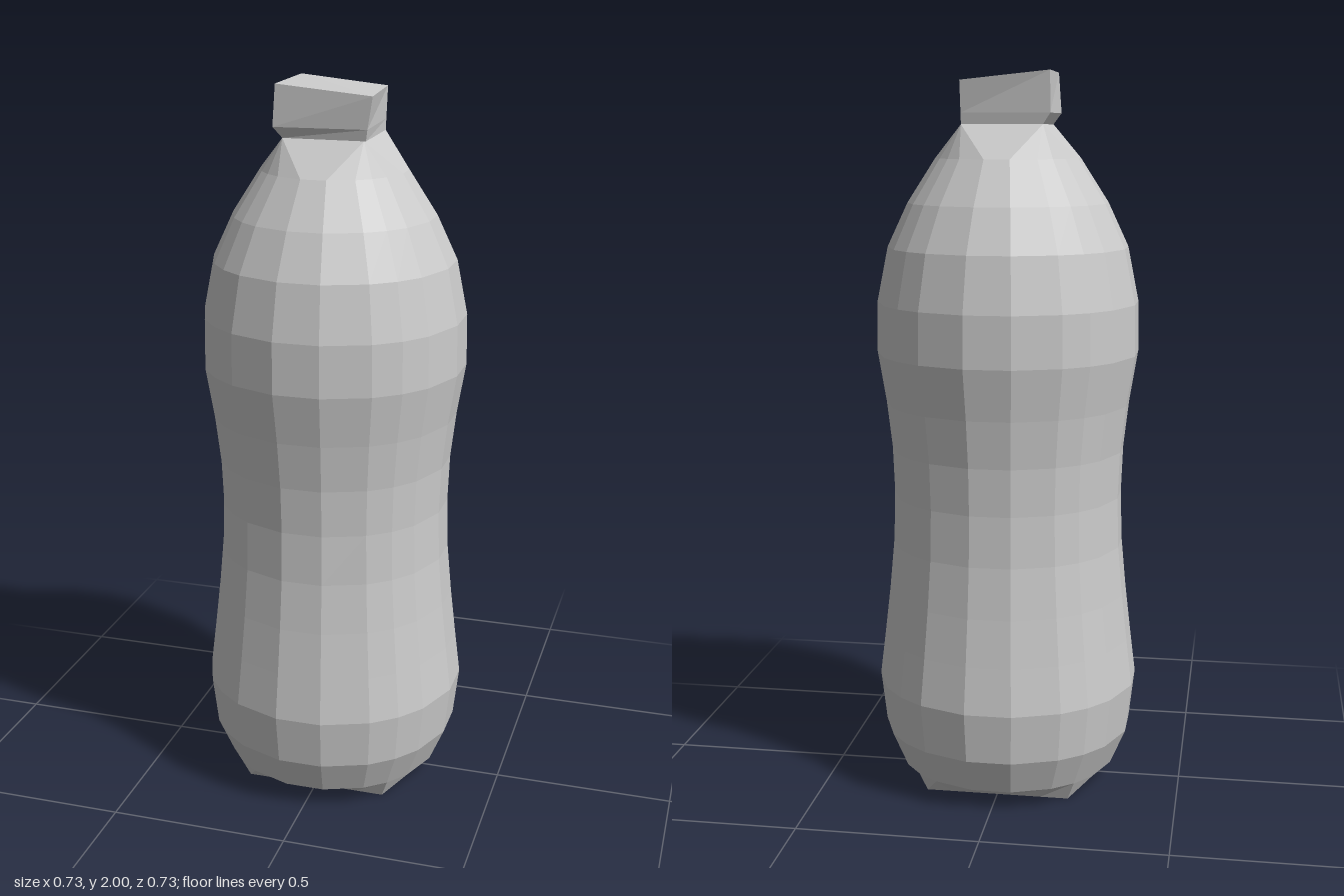
import * as THREE from 'three';

// Skins a stack of rings (bottom to top) and closes both ends.
function loft(rings, name) {
  const pos = [], idx = [], n = rings[0].length;
  rings.forEach(r => r.forEach(p => pos.push(...p)));
  for (let i = 0; i < rings.length - 1; i++) {
    for (let j = 0; j < n; j++) {
      const a = i * n + j, b = i * n + (j + 1) % n;
      idx.push(a, a + n, b, b, a + n, b + n);
    }
  }
  const top = (rings.length - 1) * n;
  for (let j = 1; j < n - 1; j++) {
    idx.push(0, j, j + 1);
    idx.push(top, top + j + 1, top + j);
  }
  const geo = new THREE.BufferGeometry();
  geo.setAttribute('position', new THREE.Float32BufferAttribute(pos, 3));
  geo.setIndex(idx);
  geo.computeVertexNormals();
  const mesh = new THREE.Mesh(geo, new THREE.MeshStandardMaterial({ color: 0xcccccc, flatShading: true }));
  mesh.name = name;
  return mesh;
}

// Twenty uneven sides: wide panels on the axes, narrow ones on the diagonals.
const angles = [];
for (let q = 0; q < 4; q++) {
  for (const d of [10, 31.5, 45, 58.5, 80]) angles.push(THREE.MathUtils.degToRad(q * 90 + d));
}
const roundRing = (y, r) => angles.map(a => [r * Math.cos(a), y, r * Math.sin(a)]);
const squareRing = (y, h) => angles.map(a => {
  const k = h / Math.max(Math.abs(Math.cos(a)), Math.abs(Math.sin(a)));
  return [k * Math.cos(a), y, k * Math.sin(a)];
});
// All vertices of a quadrant gather in the corner of the square.
const cornerRing = (y, h) => angles.map(a => [h * Math.sign(Math.cos(a)), y, h * Math.sign(Math.sin(a))]);

export function createModel() {
  const model = new THREE.Group();
  model.name = 'bottle';

  // Body: square foot, waisted round wall, shoulder, square neck
  const profile = [
    [0.16, 0.353], [0.30, 0.369], [0.43, 0.353], [0.56, 0.338], [0.70, 0.325], [0.84, 0.321],
    [0.97, 0.326], [1.10, 0.341], [1.24, 0.364], [1.38, 0.362], [1.53, 0.332], [1.65, 0.276], [1.77, 0.199],
  ];
  const foot = roundRing(0.06, 0.31);
  model.add(loft([
    squareRing(0.005, 0.2),
    foot,
    ...profile.map(([y, r]) => roundRing(y, r)),
    cornerRing(1.86, 0.11),
  ], 'body'));

  // Cap: flared block with a slanted top
  model.add(loft([
    [[0.115, 1.86, 0.11], [-0.11, 1.86, 0.11], [-0.11, 1.86, -0.11], [0.11, 1.86, -0.11]],
    [[0.12, 1.89, 0.115], [-0.13, 1.89, 0.13], [-0.13, 1.89, -0.115], [0.11, 1.89, -0.115]],
    [[0.135, 1.975, 0.12], [-0.122, 2.0, 0.13], [-0.13, 2.0, -0.122], [0.11, 1.975, -0.13]],
  ], 'cap'));

  return model;
}
